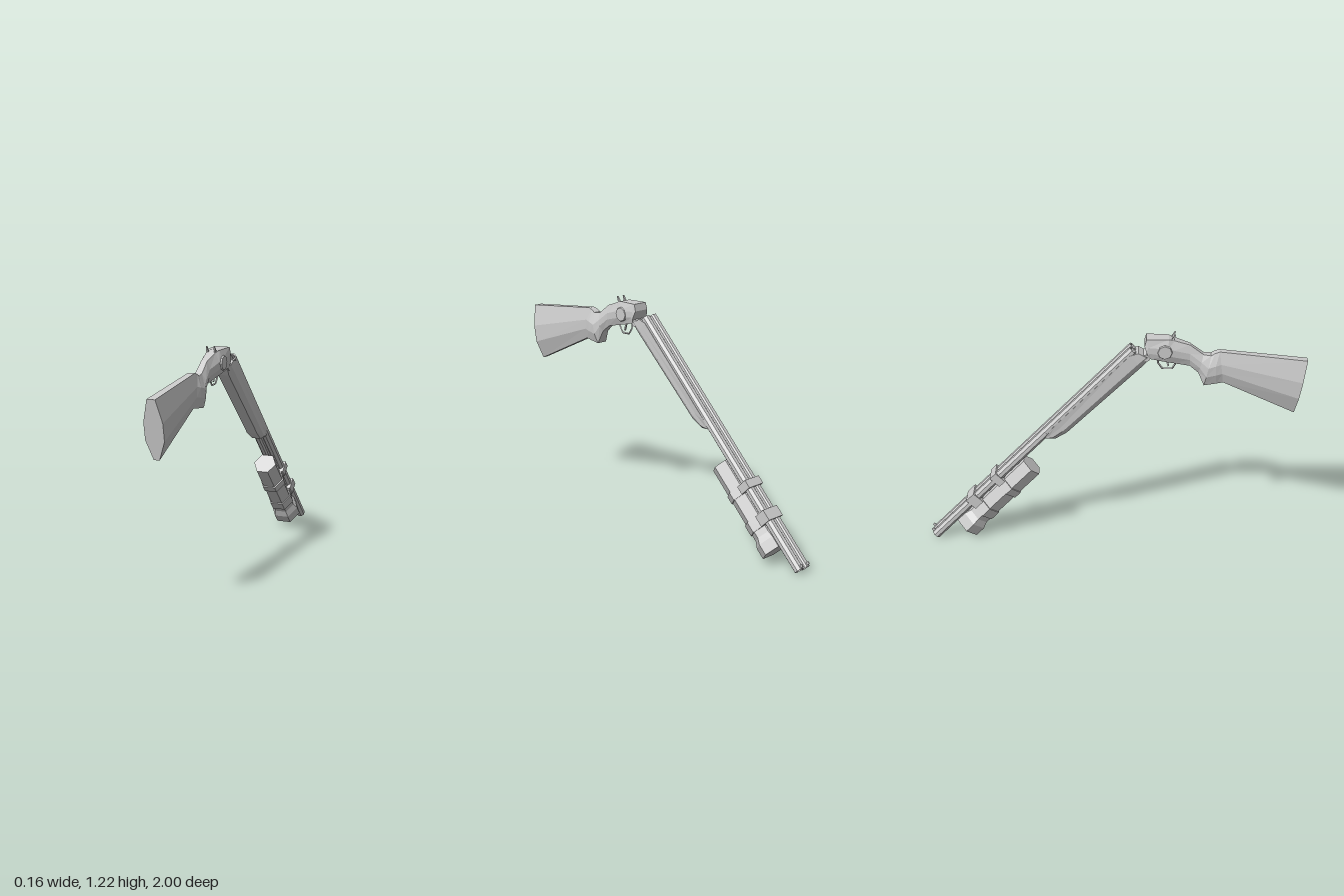
import * as THREE from 'three';

const material = new THREE.MeshStandardMaterial({ color: 0xcccccc, flatShading: true });

function add(parent, name, geometry, x = 0, y = 0, z = 0) {
  const mesh = new THREE.Mesh(geometry, material);
  mesh.name = name;
  mesh.position.set(x, y, z);
  parent.add(mesh);
  return mesh;
}

// Eight-sided loft; sections run towards -z as
// [top z, top y, bottom z, bottom y, top, middle and bottom half-widths]
function loft(sections) {
  const pos = [], idx = [], n = 8;
  for (const [zt, yt, zb, yb, tw, w, bw] of sections) {
    const half = [[tw, 0], [w, 0.38], [w, 0.68], [bw, 1]];
    const ring = [...half, ...half.map(([x, t]) => [-x, t]).reverse()];
    for (const [x, t] of ring) pos.push(x, yt + (yb - yt) * t, zt + (zb - zt) * t);
  }
  const last = (sections.length - 1) * n;
  for (let i = 0; i < last; i += n) {
    for (let j = 0; j < n; j++) {
      const a = i + j, b = i + (j + 1) % n;
      idx.push(a, b, a + n, b, b + n, a + n);
    }
  }
  for (let j = 1; j < n - 1; j++) idx.push(0, j + 1, j, last, last + j, last + j + 1);
  const g = new THREE.BufferGeometry();
  g.setAttribute('position', new THREE.Float32BufferAttribute(pos, 3));
  g.setIndex(idx);
  g.computeVertexNormals();
  return g;
}

// Turned part along -z from [radius, distance] pairs
function turned(profile, sides, spin = 0) {
  const g = new THREE.LatheGeometry(profile.map(([r, s]) => new THREE.Vector2(r, s)), sides);
  return g.rotateY(spin).rotateX(-Math.PI / 2);
}

export function createModel() {
  const model = new THREE.Group();
  model.name = 'breakActionShotgun';

  // Stock, running into the grip
  add(model, 'stock', loft([
    [1.0, 1.08, 0.945, 0.78, 0.022, 0.05, 0.015],
    [0.545, 1.13, 0.565, 0.957, 0.018, 0.034, 0.018],
    [0.52, 1.122, 0.53, 0.953, 0.02, 0.042, 0.025],
    [0.5, 1.11, 0.465, 0.945, 0.022, 0.046, 0.03],
    [0.46, 1.115, 0.435, 1.014, 0.018, 0.036, 0.02],
    [0.39, 1.168, 0.39, 1.052, 0.016, 0.03, 0.018],
  ]));

  // Receiver
  add(model, 'receiver', loft([
    [0.39, 1.168, 0.39, 1.052, 0.016, 0.03, 0.018],
    [0.31, 1.196, 0.3, 1.073, 0.025, 0.045, 0.03],
    [0.28, 1.206, 0.27, 1.08, 0.034, 0.05, 0.035],
    [0.165, 1.207, 0.19, 1.1, 0.042, 0.05, 0.042],
    [0.155, 1.17, 0.18, 1.1, 0.044, 0.05, 0.042],
  ]));

  // Side plates and hammers, mirrored
  for (const side of [-1, 1]) {
    const plate = new THREE.CylinderGeometry(0.036, 0.04, 0.008, 8).rotateZ(-side * Math.PI / 2);
    add(model, 'sidePlate', plate, side * 0.05, 1.14, 0.26);
    const hammer = new THREE.CylinderGeometry(0.004, 0.011, 0.055, 4, 1).rotateY(Math.PI / 4);
    add(model, 'hammer', hammer, side * 0.021, 1.203, 0.302).rotation.x = 0.45;
  }

  // Trigger guard and trigger
  const guard = new THREE.CurvePath();
  const corners = [[1.09, 0.325], [1.06, 0.318], [1.028, 0.3], [1.028, 0.25], [1.06, 0.227], [1.1, 0.222]]
    .map(([y, z]) => new THREE.Vector3(0, y, z));
  for (let i = 1; i < corners.length; i++) guard.add(new THREE.LineCurve3(corners[i - 1], corners[i]));
  add(model, 'triggerGuard', new THREE.TubeGeometry(guard, 20, 0.005, 4));
  add(model, 'trigger', new THREE.BoxGeometry(0.008, 0.04, 0.008), 0, 1.062, 0.275).rotation.x = -0.3;

  // Hinge between receiver and barrels
  add(model, 'hinge', new THREE.CylinderGeometry(0.02, 0.02, 0.085, 8).rotateZ(Math.PI / 2), 0, 1.105, 0.165);

  // Opened barrel assembly: barrels run along local -z from the breech
  const action = new THREE.Group();
  action.name = 'barrelAssembly';
  action.position.set(0, 1.16, 0.08);
  action.rotation.x = -0.802;
  model.add(action);

  const bore = [[0.025, 0], [0.025, 1.552], [0.018, 1.552], [0.018, 0], [0.025, 0]];
  for (const side of [-1, 1]) {
    add(action, 'barrel', turned(bore, 8, Math.PI / 8), side * 0.0245, -0.025, 0);
    add(action, 'frontSight', new THREE.BoxGeometry(0.005, 0.018, 0.014), side * 0.0245, 0.004, -1.54);
  }
  add(action, 'rib', new THREE.BoxGeometry(0.014, 0.03, 1.54), 0, -0.024, -0.775);

  add(action, 'foreEnd', loft([
    [0.012, -0.05, 0.03, -0.115, 0.048, 0.048, 0.035],
    [-0.03, -0.027, -0.03, -0.121, 0.05, 0.05, 0.03],
    [-0.58, -0.027, -0.584, -0.106, 0.05, 0.047, 0.03],
    [-0.66, -0.027, -0.658, -0.089, 0.048, 0.042, 0.025],
    [-0.694, -0.03, -0.694, -0.048, 0.045, 0.038, 0.025],
  ]));

  // Lamp slung under the barrels
  const lamp = [[0, 0.873], [0.065, 0.873], [0.065, 1.3], [0.08, 1.335], [0.08, 1.395], [0, 1.395]];
  add(action, 'lamp', turned(lamp, 6, Math.PI / 6), 0, -0.115, 0);

  // Clamp bands around barrels and lamp
  for (const [s, width] of [[1.05, 0.045], [1.235, 0.06]]) {
    const clamp = new THREE.Group();
    clamp.name = 'clamp';
    clamp.position.z = -s;
    action.add(clamp);
    const band = [[0, -width / 2], [0.072, -width / 2], [0.072, width / 2], [0, width / 2]];
    add(clamp, 'lampBand', turned(band, 6, Math.PI / 6), 0, -0.115, 0);
    add(clamp, 'barrelBand', new THREE.BoxGeometry(0.106, 0.07, width), 0, -0.03, 0);
  }

  return model;
}
